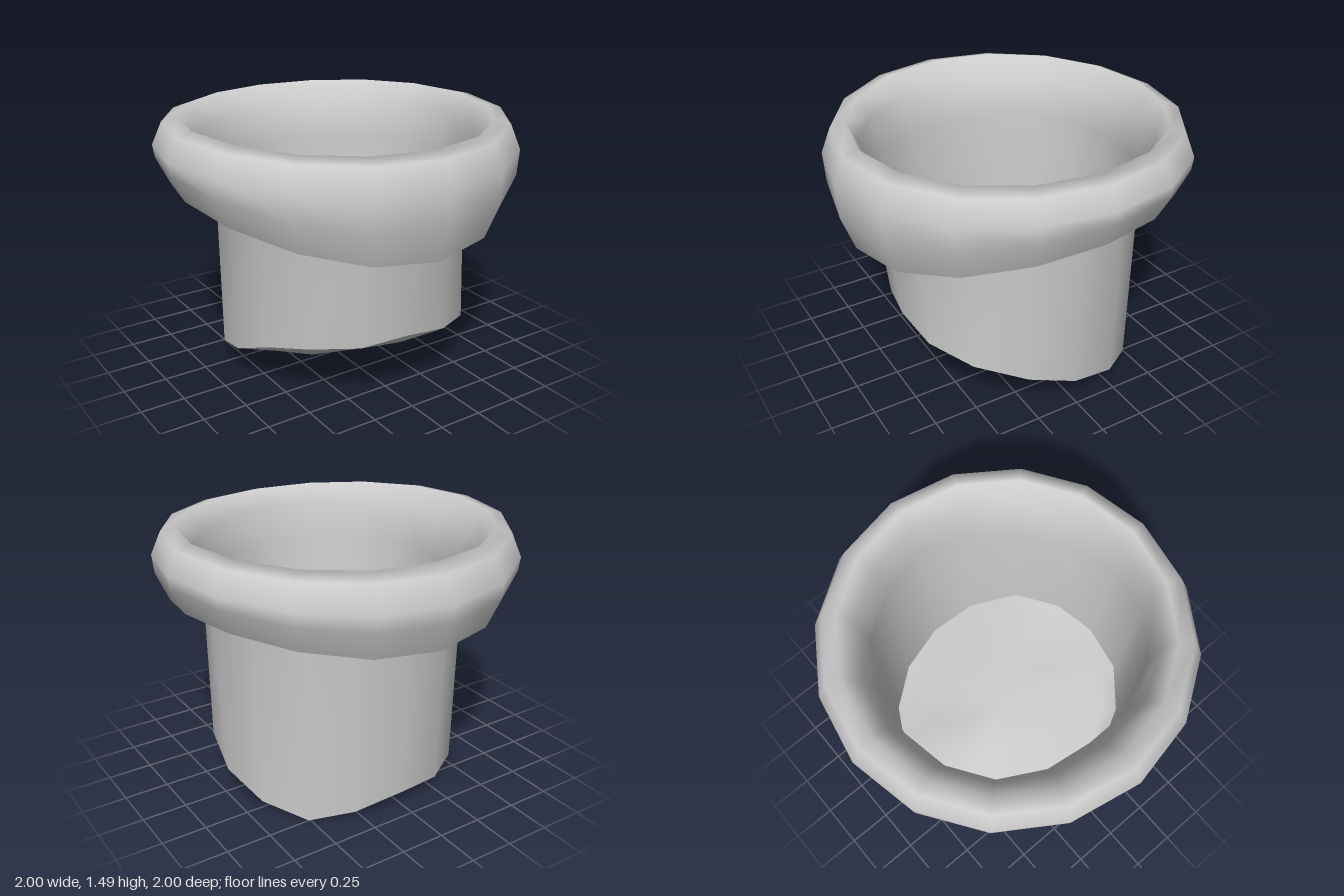
import * as THREE from 'three';

const SIDES = 16;

// Joins rings of points [x, y, z] into one smooth skin; an optional centre closes the last ring
function loft(name, rings, centre) {
  const pos = rings.flat(2), index = [];
  const at = (i, k) => i * SIDES + (k % SIDES);
  for (let i = 0; i < rings.length - 1; i++) {
    for (let k = 0; k < SIDES; k++) {
      index.push(at(i, k), at(i, k + 1), at(i + 1, k + 1));
      index.push(at(i, k), at(i + 1, k + 1), at(i + 1, k));
    }
  }
  if (centre) {
    const c = pos.length / 3, last = rings.length - 1;
    pos.push(...centre);
    for (let k = 0; k < SIDES; k++) index.push(at(last, k), at(last, k + 1), c);
  }
  const geo = new THREE.BufferGeometry();
  geo.setAttribute('position', new THREE.Float32BufferAttribute(pos, 3));
  geo.setIndex(index);
  geo.computeVertexNormals();
  const mat = new THREE.MeshStandardMaterial({ color: 0xcccccc, side: THREE.DoubleSide });
  const mesh = new THREE.Mesh(geo, mat);
  mesh.name = name;
  return mesh;
}

// A ring of given radii whose height runs from front over the sides to the back
function ring(radii, front, side, back) {
  return radii.map((r, k) => {
    const a = (k / SIDES) * Math.PI * 2, c = Math.cos(a);
    const y = side + c * (front - back) / 2 + c * c * ((front + back) / 2 - side);
    return [r * Math.sin(a), y, r * c];
  });
}

const round = (r) => Array(SIDES).fill(r);

export function createModel() {
  const group = new THREE.Group();
  group.name = 'rolledRimCup';

  // Uneven slanted lower edge, from the front round by the left
  const base = [
    [0, 0.40, 0.69], [0.27, 0.355, 0.66], [0.52, 0.31, 0.52], [0.68, 0.23, 0.27],
    [0.73, 0.14, 0], [0.67, 0.06, -0.28], [0.51, 0.0, -0.50], [0.29, 0.04, -0.62],
    [0, 0.085, -0.66], [-0.27, 0.06, -0.61], [-0.50, 0.055, -0.46], [-0.61, 0.13, -0.27],
    [-0.66, 0.21, 0], [-0.60, 0.31, 0.25], [-0.48, 0.36, 0.47], [-0.27, 0.38, 0.64],
  ];

  // Irregular neck radii, flaring towards a round rim
  const neck = [
    0.765, 0.735, 0.71, 0.74, 0.775, 0.745, 0.73, 0.705,
    0.695, 0.70, 0.70, 0.675, 0.66, 0.71, 0.75, 0.775,
  ];
  const throat = neck.map((r) => r * 0.55 + 0.85 * 0.45);

  // The rim rolls outwards and hangs free as a lip
  group.add(loft('wallAndRim', [
    base,
    ring(neck, 1.13, 1.15, 1.15),
    ring(throat, 1.35, 1.36, 1.35),
    ring(round(0.86), 1.46, 1.485, 1.475),
    ring(round(0.945), 1.435, 1.465, 1.44),
    ring(round(1.0), 1.29, 1.345, 1.30),
    ring(round(0.99), 1.10, 1.27, 1.20),
    ring(round(0.92), 0.905, 1.125, 1.035),
  ]));

  // Slanted, slightly domed floor with a dropped chamfer along the front and front right
  const centre = [0.03, 0.25, 0];
  const drop = { 0: 0.055, 1: 0.035, 13: 0.045, 14: 0.055, 15: 0.025 };
  const toCentre = (p, t) => p.map((v, i) => v + (centre[i] - v) * t);
  const inset = base.map((p, k) => {
    const [x, y, z] = toCentre(p, 0.1);
    return [x, y - (drop[k] ?? 0), z];
  });
  const middle = inset.map((p) => toCentre(p, 0.5));
  group.add(loft('floor', [base, inset, middle], centre));

  return group;
}
